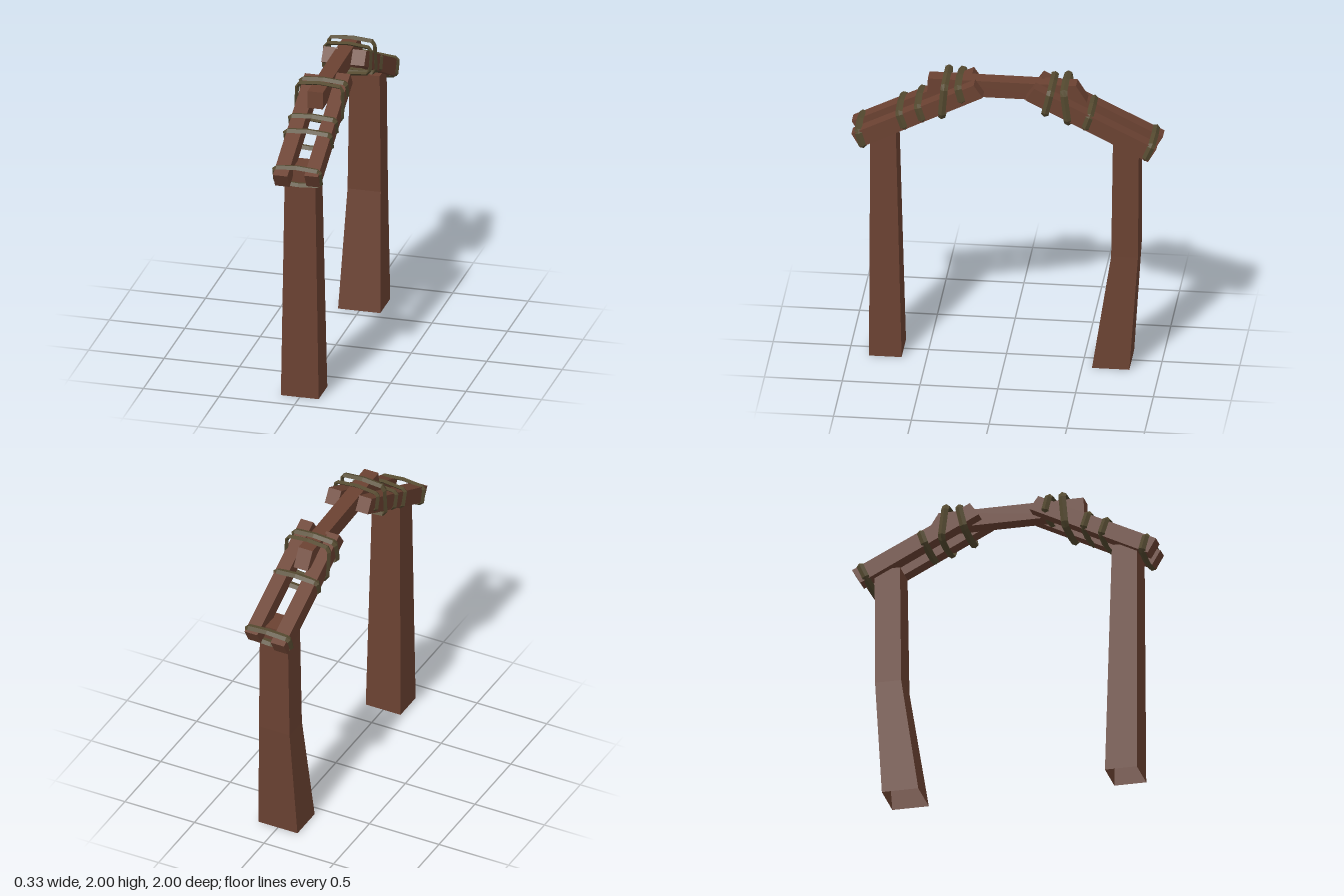
import * as THREE from 'three';

const wood = new THREE.MeshStandardMaterial({ color: 0x6b4232, flatShading: true, side: THREE.DoubleSide });
wood.name = 'brown wood';
const rope = new THREE.MeshStandardMaterial({ color: 0x554a30, flatShading: true });
rope.name = 'olive rope';

function makeMesh(name, points, index, material) {
  const indexed = new THREE.BufferGeometry();
  indexed.setAttribute('position', new THREE.Float32BufferAttribute(points, 3));
  indexed.setIndex(index);
  const geometry = indexed.toNonIndexed();
  geometry.computeVertexNormals();
  const mesh = new THREE.Mesh(geometry, material);
  mesh.name = name;
  return mesh;
}

// Four-sided timber through sections [x0, x1, zA, yA, zB, yB];
// each section is a rectangle between edge A and edge B.
function timber(name, sections, openStart = false) {
  const points = [], index = [];
  sections.forEach(([x0, x1, zA, yA, zB, yB], s) => {
    points.push(x0, yA, zA, x1, yA, zA, x1, yB, zB, x0, yB, zB);
    if (s === 0) return;
    const b = (s - 1) * 4, t = s * 4;
    for (let i = 0; i < 4; i++) {
      const j = (i + 1) % 4;
      index.push(b + i, b + j, t + j, b + i, t + j, t + i);
    }
  });
  const e = (sections.length - 1) * 4;
  index.push(e, e + 1, e + 2, e, e + 2, e + 3);
  if (!openStart) index.push(0, 2, 1, 0, 3, 2);
  return makeMesh(name, points, index, wood);
}

// Rope loop around the timbers, from its top (z, y) to its bottom (z, y),
// with a diamond cross-section and a slight peak at mid-span.
function lashing(name, [zTop, yTop], [zBottom, yBottom]) {
  const up = new THREE.Vector3(0, yTop - yBottom, zTop - zBottom);
  const half = up.length() / 2;
  up.normalize();
  const side = new THREE.Vector3(1, 0, 0);
  const axis = new THREE.Vector3().crossVectors(side, up);
  const centre = new THREE.Vector3(0, (yTop + yBottom) / 2, (zTop + zBottom) / 2);
  const r = 0.013, w = 0.024;
  const h = half - r, c = h - 0.012;
  const outline = [
    [0.152, 0], [0.152, c * 0.75], [0.135, c], [0, h], [-0.135, c], [-0.152, c * 0.75],
    [-0.152, 0], [-0.152, -c * 0.75], [-0.135, -c], [0, -h], [0.135, -c], [0.152, -c * 0.75],
  ];
  const n = outline.length, points = [], index = [];
  outline.forEach(([x, y], i) => {
    const [px, py] = outline[(i + n - 1) % n], [nx, ny] = outline[(i + 1) % n];
    const out = new THREE.Vector2(ny - py, px - nx).normalize();
    for (const [a, b] of [[r, 0], [0, w], [-r, 0], [0, -w]]) {
      const p = centre.clone()
        .addScaledVector(side, x + out.x * a)
        .addScaledVector(up, y + out.y * a)
        .addScaledVector(axis, b);
      points.push(p.x, p.y, p.z);
    }
    const k = ((i + 1) % n) * 4;
    for (let q = 0; q < 4; q++) {
      const m = (q + 1) % 4;
      index.push(i * 4 + q, k + q, k + m, i * 4 + q, k + m, i * 4 + m);
    }
  });
  return makeMesh(name, points, index, rope);
}

export function createModel() {
  const model = new THREE.Group();
  model.name = 'timberArch';

  // Posts, hollow at the foot
  model.add(timber('frontPost', [
    [-0.125, 0.125, 0.87, 0, 0.66, 0],
    [-0.1, 0.1, 0.865, 1.59, 0.7, 1.59],
  ], true));
  model.add(timber('backPost', [
    [-0.14, 0.14, -0.565, 0, -0.805, 0],
    [-0.11, 0.11, -0.685, 0.79, -0.857, 0.79],
    [-0.1, 0.1, -0.695, 1.59, -0.862, 1.59],
  ], true));

  // Ridge beam, slightly skewed with one slanted end
  model.add(timber('ridgeBeam', [
    [-0.065, 0.035, -0.52, 1.847, -0.45, 1.96],
    [-0.05, 0.052, 0.505, 1.857, 0.5, 1.97],
  ]));

  // Paired rafters on either side of the ridge beam
  const rafters = [['right', -0.143, -0.047, 0.03, 0], ['left', 0.06, 0.15, 0, 0.02]];
  for (const [label, x0, x1, inner, outer] of rafters) {
    const ridge = [0.137 + inner, 1.9 - inner / 2, 0.195 + inner, 1.985 - inner / 2];
    const eave = [0.945 - outer, 1.49 + outer / 2, 1 - outer, 1.585 + outer / 2];
    const flip = ([zA, yA, zB, yB]) => [-zA, yA, -zB, yB];
    model.add(timber(label + 'FrontRafter', [[x0, x1, ...ridge], [x0, x1, ...eave]]));
    model.add(timber(label + 'BackRafter', [[x0, x1, ...flip(eave)], [x0, x1, ...flip(ridge)]]));
  }

  // Rope lashings, top and bottom as (z, y)
  const lashings = [
    [[0.945, 1.64], [0.9, 1.48]],
    [[0.685, 1.785], [0.63, 1.625]],
    [[0.565, 1.84], [0.515, 1.685]],
    [[0.38, 1.995], [0.405, 1.715]],
    [[0.305, 1.99], [0.262, 1.83]],
    [[-0.255, 1.77], [-0.305, 1.985]],
    [[-0.38, 1.995], [-0.415, 1.715]],
    [[-0.56, 1.83], [-0.51, 1.685]],
    [[-0.96, 1.64], [-0.895, 1.49]],
  ];
  lashings.forEach(([a, b], i) => {
    const [top, bottom] = a[1] > b[1] ? [a, b] : [b, a];
    model.add(lashing('ropeLashing' + (i + 1), top, bottom));
  });
  return model;
}
